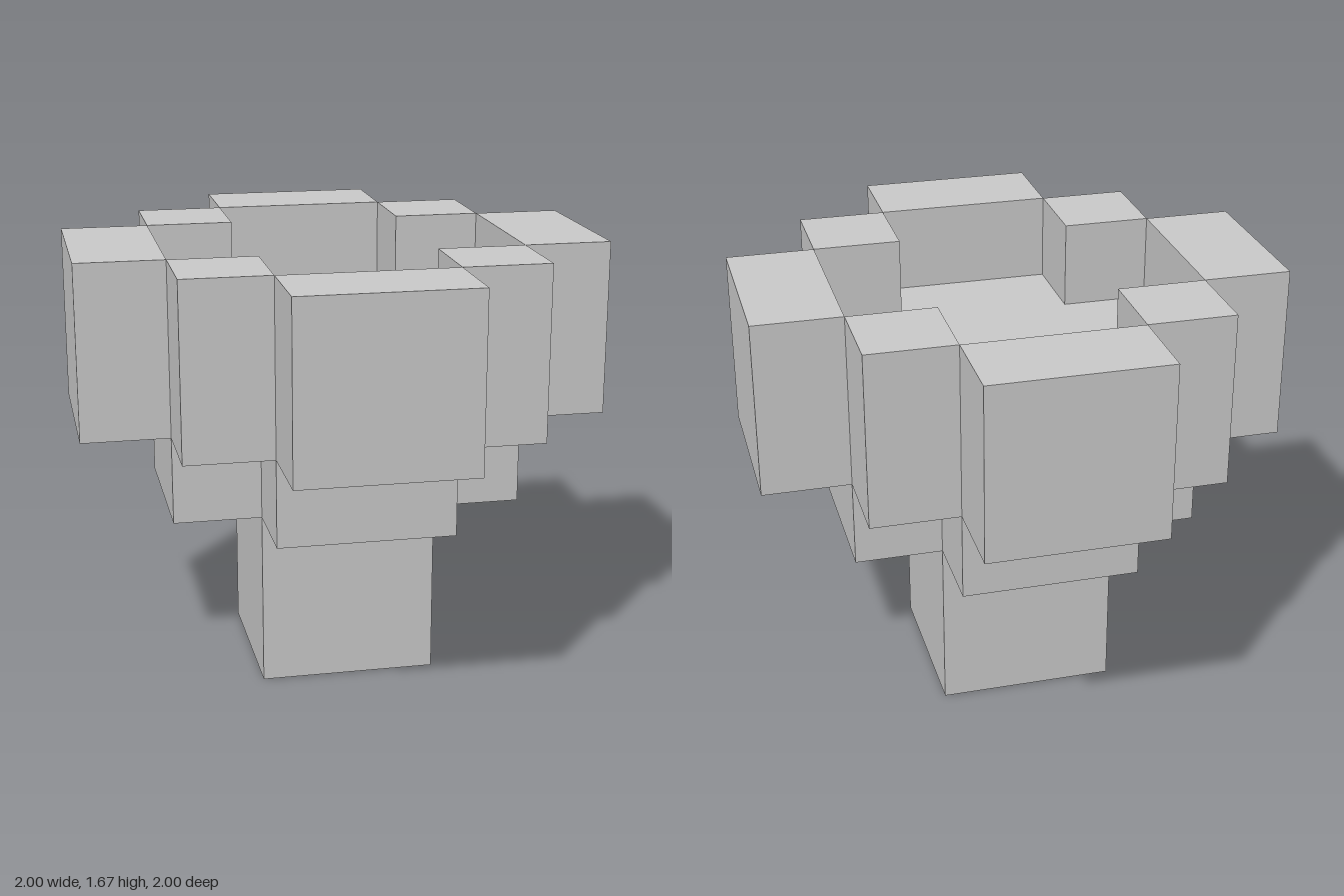
import * as THREE from 'three';

const U = 1 / 3; // grid step shared by every block

export function createModel() {
  const group = new THREE.Group();
  const material = new THREE.MeshStandardMaterial({ color: 0xcccccc, flatShading: true });

  // Block of w x h x d grid steps, centred on (x, z), with its underside at y
  function block(name, w, h, d, x, y, z) {
    const mesh = new THREE.Mesh(new THREE.BoxGeometry(w * U, h * U, d * U), material);
    mesh.position.set(x * U, (y + h / 2) * U, z * U);
    mesh.name = name;
    group.add(mesh);
  }

  // Square foot
  block('foot', 2, 2, 2, 0, 0, 0);

  // Cross-shaped bowl, its top is the sunken floor
  const cross = new THREE.Shape([
    [1, 1], [1, 2], [-1, 2], [-1, 1], [-2, 1], [-2, -1],
    [-1, -1], [-1, -2], [1, -2], [1, -1], [2, -1], [2, 1],
  ].map(([x, y]) => new THREE.Vector2(x * U, y * U)));
  const bowlGeometry = new THREE.ExtrudeGeometry(cross, { depth: 2 * U, bevelEnabled: false });
  bowlGeometry.rotateX(-Math.PI / 2);
  const bowl = new THREE.Mesh(bowlGeometry, material);
  bowl.position.y = 2 * U;
  bowl.name = 'bowl';
  group.add(bowl);

  // Rim: four side walls and four corner posts
  for (const s of [-1, 1]) {
    block('sideWall', 1, 2, 2, 2.5 * s, 3, 0);
    block('endWall', 2, 2, 1, 0, 3, 2.5 * s);
    for (const t of [-1, 1]) block('cornerPost', 1, 2, 1, 1.5 * s, 3, 1.5 * t);
  }
  return group;
}
